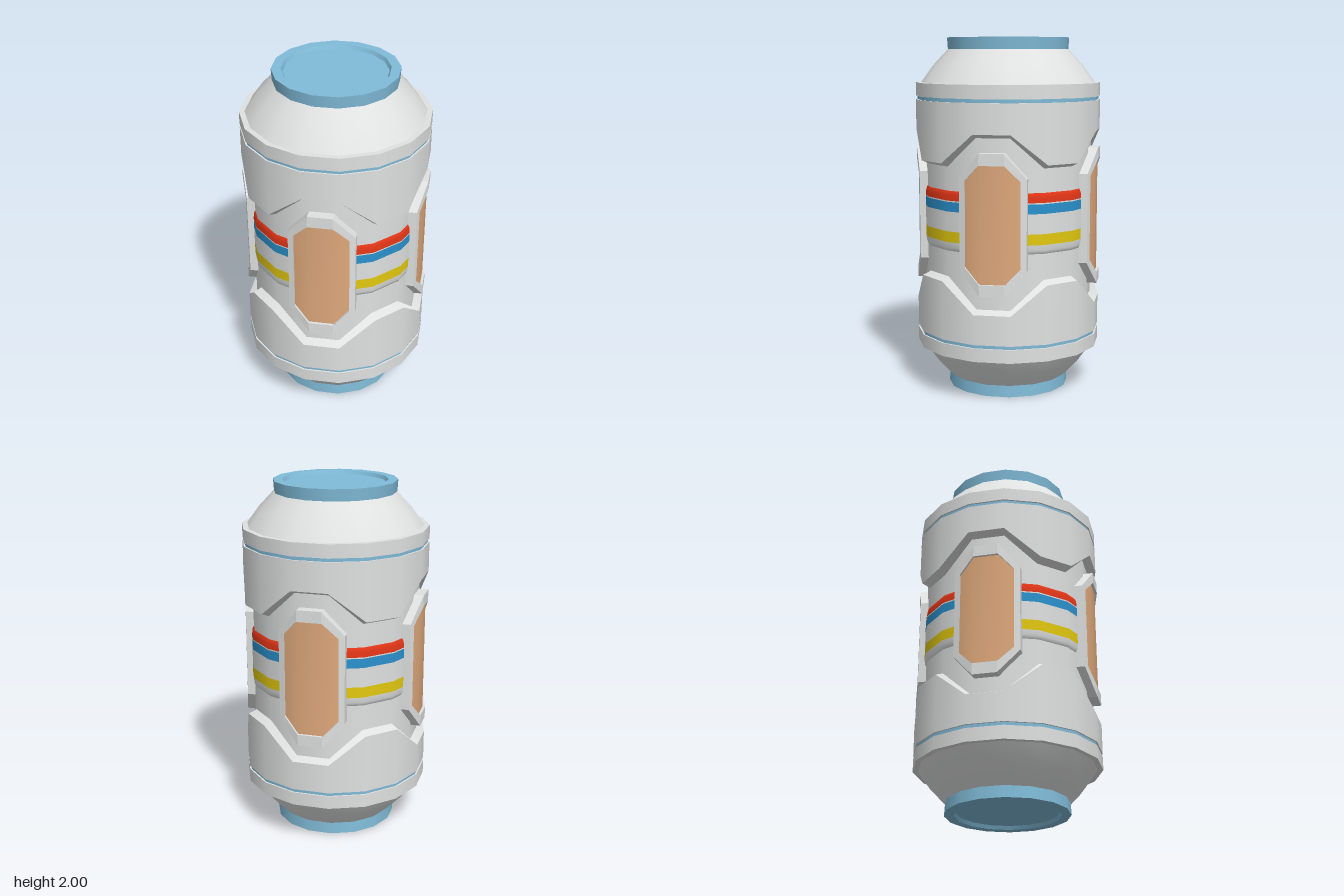
import * as THREE from 'three';
import { mergeGeometries } from 'three/addons/utils/BufferGeometryUtils.js';

const mat = (name, color) => {
  const m = new THREE.MeshStandardMaterial({ color });
  m.name = name;
  return m;
};

const SIDES = 16;
const STEP = (Math.PI * 2) / SIDES;

// Sixteen-sided turned part with flats on the axes; profile [radius to flat, y] runs bottom to top.
// Each profile segment is its own lathe, so it is smooth around and sharp along the profile.
function turned(profile, smooth = false) {
  const pts = profile.map(([r, y]) => new THREE.Vector2(r / Math.cos(STEP / 2), y));
  const lathe = (p) => new THREE.LatheGeometry(p, SIDES, STEP / 2);
  if (smooth) return lathe(pts);
  return mergeGeometries(pts.slice(1).map((p, i) => lathe([pts[i], p])));
}

// Octagon outline with half width w, half height h and chamfer starting at (u, v)
function octagon(Type, w, h, u, v) {
  return new Type([[u, -h], [w, -v], [w, v], [u, h], [-u, h], [-w, v], [-w, -v], [-u, -h]]
    .map(([x, y]) => new THREE.Vector2(x, y)));
}

// Bend a flat panel around the body
function wrap(geo) {
  const p = geo.attributes.position;
  for (let i = 0; i < p.count; i++) {
    p.setZ(i, p.getZ(i) - Math.max(0, Math.abs(p.getX(i)) - 0.07) * 0.4);
  }
  geo.computeVertexNormals();
  return geo;
}

export function createModel() {
  const white = mat('shell white', 0xe0e2e1);
  const paleBlue = mat('cap blue', 0x80bbd8);
  const tan = mat('window tan', 0xdfa97c);
  const red = mat('stripe red', 0xe23617);
  const blue = mat('stripe blue', 0x2b92ce);
  const yellow = mat('stripe yellow', 0xe3c90f);

  const model = new THREE.Group();
  model.name = 'canister';
  const add = (parent, name, geo, material) => {
    const m = new THREE.Mesh(geo, material);
    m.name = name;
    parent.add(m);
    return m;
  };

  // Inner core
  add(model, 'core', turned([[0.468, 0.5], [0.468, 1.5]]), white);

  // Raised middle band, split into coloured stripes
  const bands = [
    ['bandFoot', white, [[0.455, 0.83], [0.468, 0.84], [0.476, 0.86], [0.479, 0.89]]],
    ['yellowStripe', yellow, [[0.479, 0.89], [0.479, 0.95]]],
    ['bandMiddle', white, [[0.479, 0.95], [0.479, 1.06]]],
    ['blueStripe', blue, [[0.479, 1.06], [0.479, 1.113]]],
    ['bandGap', white, [[0.479, 1.113], [0.479, 1.12]]],
    ['redStripe', red, [[0.479, 1.12], [0.477, 1.15], [0.471, 1.17], [0.46, 1.18]]],
  ];
  for (const [name, material, profile] of bands) add(model, name, turned(profile, true), material);

  // Upper and lower ends are the same piece, turned over about the middle
  for (const name of ['upperEnd', 'lowerEnd']) {
    const end = new THREE.Group();
    end.name = name;
    end.position.y = 1;
    if (name === 'lowerEnd') end.rotation.x = Math.PI;

    // Outer shell with a bevelled lip that arches over each window
    const shell = turned([[0.465, 0.303], [0.515, 0.325], [0.515, 0.655], [0.5, 0.655]]);
    const p = shell.attributes.position;
    for (let i = 0; i < p.count; i++) {
      const a = Math.abs(p.getX(i)), b = Math.abs(p.getZ(i));
      if (p.getY(i) < 0.4 && Math.min(a, b) < 0.3 * Math.max(a, b)) p.setY(i, p.getY(i) + 0.163);
    }
    add(end, 'shell', shell, white);

    add(end, 'groove', turned([[0.506, 0.65], [0.506, 0.68]]), paleBlue);
    add(end, 'collar', turned([[0.5, 0.675], [0.515, 0.675], [0.515, 0.75], [0.48, 0.75]]), white);
    add(end, 'shoulder', turned([[0.485, 0.75], [0.418, 0.845], [0.335, 0.935]], true), white);
    add(end, 'cap', turned([[0.334, 0.925], [0.339, 1], [0.288, 1], [0.278, 0.98], [0, 0.98]]), paleBlue);
    model.add(end);
  }

  // Four framed windows
  const outline = octagon(THREE.Shape, 0.184, 0.387, 0.068, 0.25);
  outline.holes.push(octagon(THREE.Path, 0.153, 0.322, 0.07, 0.235));
  const frameGeo = wrap(new THREE.ExtrudeGeometry(outline, { depth: 0.085, bevelEnabled: false }));

  const paneGeo = new THREE.PlaneGeometry(0.306, 0.644, 3, 1);
  const q = paneGeo.attributes.position;
  for (let i = 0; i < q.count; i++) {
    const outer = Math.abs(q.getX(i)) > 0.1;
    q.setX(i, Math.sign(q.getX(i)) * (outer ? 0.153 : 0.07));
    if (outer) q.setY(i, Math.sign(q.getY(i)) * 0.235);
  }
  wrap(paneGeo);

  for (let k = 0; k < 4; k++) {
    const win = new THREE.Group();
    win.name = 'window';
    win.rotation.y = (k * Math.PI) / 2;
    win.position.y = 1.003;
    add(win, 'windowFrame', frameGeo, white).position.z = 0.438;
    add(win, 'windowPane', paneGeo, tan).position.z = 0.508;
    model.add(win);
  }
  return model;
}
